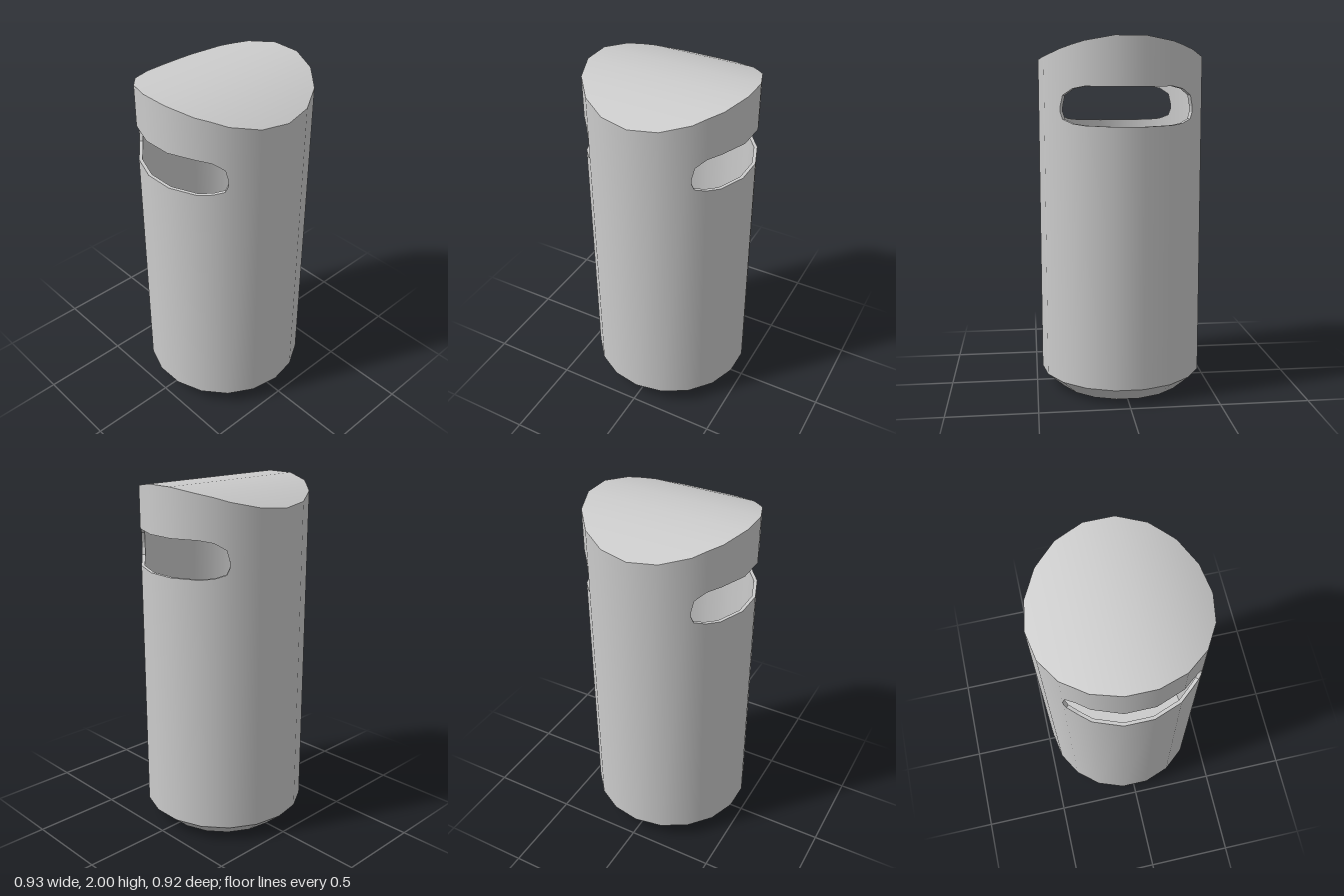
import * as THREE from 'three';

const R = 0.467, INNER = 0.448, BASE_R = 0.365, BASE_H = 0.09, LID = 0.02, SIDES = 18;
const rad = THREE.MathUtils.degToRad;

// One quarter of the wall columns: angle in degrees, then slot bottom and top if the slot crosses it
const QUARTER = [
  [0], [20], [40, 1.60, 1.63], [42, 1.563, 1.69], [50, 1.541, 1.725], [60, 1.533, 1.738], [80, 1.528, 1.735],
];
const HALF = [...QUARTER, ...QUARTER.slice(1).reverse().map(([a, ...slot]) => [180 - a, ...slot])];
const RING = [...HALF, ...HALF.map(([a, ...slot]) => [a + 180, ...slot])];

// Arched top, curved across x and straight along z
const topY = (x) => 2 - 0.115 * (x / R) ** 2;

// Point on the 18-sided outline at an angle
function outline(deg, radius, y) {
  const r = radius * Math.cos(rad(10)) / Math.cos(rad((deg % 20) - 10));
  return new THREE.Vector3(r * Math.cos(rad(deg)), y, r * Math.sin(rad(deg)));
}

// Mesh from a list of four-cornered faces; normalAt gives smooth normals, otherwise flat
function quadMesh(name, quads, material, normalAt) {
  const pts = quads.flatMap(([a, b, c, d]) => [a, b, c, a, c, d]);
  const geo = new THREE.BufferGeometry().setFromPoints(pts);
  if (normalAt) {
    const n = pts.flatMap((p) => normalAt(p).normalize().toArray());
    geo.setAttribute('normal', new THREE.Float32BufferAttribute(n, 3));
  } else geo.computeVertexNormals();
  const mesh = new THREE.Mesh(geo, material);
  mesh.name = name;
  return mesh;
}

// Wall faces at a radius, leaving the slots open
function wallQuads(radius, bottom, drop) {
  const quads = [];
  RING.forEach((c, i) => {
    const d = RING[(i + 1) % RING.length];
    const face = (c0, c1, d0, d1) => quads.push([
      outline(d[0], radius, d0), outline(c[0], radius, c0), outline(c[0], radius, c1), outline(d[0], radius, d1),
    ]);
    const top = (col) => topY(outline(col[0], radius, 0).x) - drop;
    if (c[1] && d[1]) {
      face(bottom, c[1], bottom, d[1]);
      face(c[2], top(c), d[2], top(d));
    } else face(bottom, top(c), bottom, top(d));
  });
  return quads;
}

// Arched sheet in strips running front to back
function archQuads(radius, drop) {
  const edge = (deg, side) => {
    const p = outline(deg, radius, 0);
    return new THREE.Vector3(p.x, topY(p.x) - drop, p.z * side);
  };
  const degs = [...HALF.map((c) => c[0]), 180];
  return degs.slice(1).map((b, i) => [edge(degs[i], 1), edge(degs[i], -1), edge(b, -1), edge(b, 1)]);
}

// Thickness of the wall around the slots
function slotRimQuads() {
  const quads = [];
  RING.forEach((c, i) => {
    const d = RING[(i + 1) % RING.length];
    if (!c[1]) return;
    const strip = (a, ya, b, yb) => quads.push([
      outline(a, R, ya), outline(b, R, yb), outline(b, INNER, yb), outline(a, INNER, ya),
    ]);
    if (d[1]) {
      strip(c[0], c[1], d[0], d[1]);
      strip(d[0], d[2], c[0], c[2]);
    }
    if (c[0] % 180 === 40 || c[0] % 180 === 140) strip(c[0], c[1], c[0], c[2]);
  });
  return quads;
}

export function createModel() {
  const group = new THREE.Group();
  group.name = 'litterBin';
  const grey = new THREE.MeshStandardMaterial({ color: 0xcccccc });
  const thin = new THREE.MeshStandardMaterial({ color: 0xcccccc, side: THREE.DoubleSide });
  const flip = (quads) => quads.map((q) => [...q].reverse());
  const outward = (p) => new THREE.Vector3(p.x, 0, p.z);
  const upward = (p) => new THREE.Vector3(0.23 * p.x / (R * R), 1, 0);

  // Shell, arched lid and slot edges
  group.add(
    quadMesh('outerWall', wallQuads(R, BASE_H, 0), grey, outward),
    quadMesh('innerWall', flip(wallQuads(INNER, BASE_H, LID)), grey, (p) => outward(p).negate()),
    quadMesh('lid', archQuads(R, 0), grey, upward),
    quadMesh('lidUnderside', flip(archQuads(INNER, LID)), grey, (p) => upward(p).negate()),
    quadMesh('slotRims', slotRimQuads(), thin),
  );

  // Sloped foot, bottom and inside floor
  const add = (name, geo, y) => {
    const mesh = new THREE.Mesh(geo, grey);
    mesh.name = name;
    mesh.position.y = y;
    group.add(mesh);
  };
  add('foot', new THREE.CylinderGeometry(R, BASE_R, BASE_H, SIDES, 1, true, Math.PI / 2), BASE_H / 2);
  add('bottom', new THREE.CircleGeometry(BASE_R, SIDES).rotateX(Math.PI / 2), 0);
  add('insideFloor', new THREE.CircleGeometry(INNER, SIDES).rotateX(-Math.PI / 2), BASE_H);
  return group;
}
